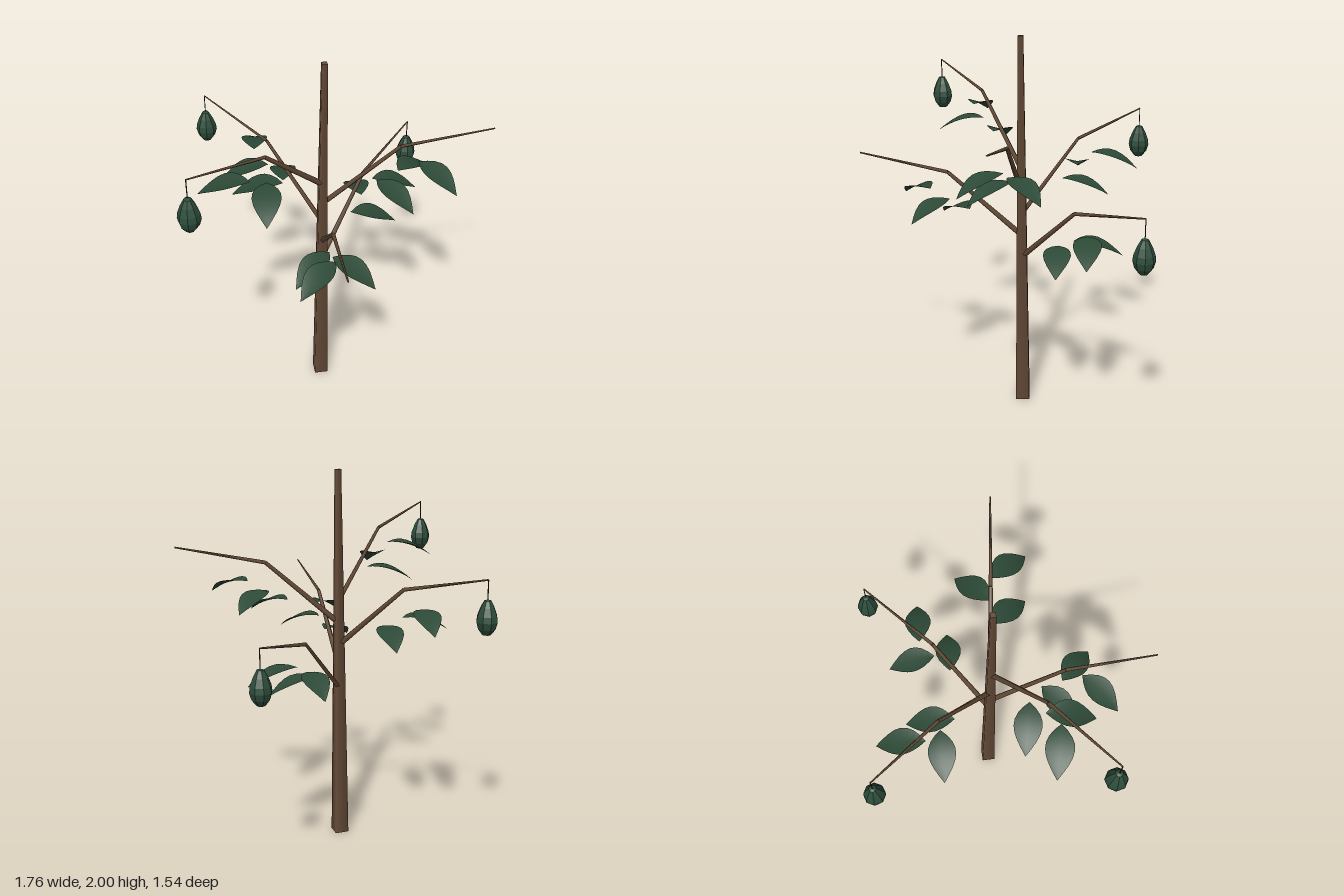
import * as THREE from 'three';

const mat = (name, color, opts = {}) => {
  const m = new THREE.MeshStandardMaterial({ color, ...opts });
  m.name = name;
  return m;
};

// Tapered four-sided rod between two points
function rod(name, a, b, ra, rb, material, sides = 4) {
  const dir = b.clone().sub(a);
  const mesh = new THREE.Mesh(new THREE.CylinderGeometry(rb, ra, dir.length(), sides), material);
  mesh.name = name;
  mesh.position.copy(a).add(b).multiplyScalar(0.5);
  mesh.quaternion.setFromUnitVectors(new THREE.Vector3(0, 1, 0), dir.normalize());
  return mesh;
}

// Pointed leaf along +x, drooping to the tip with raised edges
function leafGeometry() {
  const length = 0.25, halfWidth = 0.069;
  const geo = new THREE.PlaneGeometry(1, 2, 8, 2);
  const p = geo.attributes.position;
  for (let i = 0; i < p.count; i++) {
    const t = p.getX(i) + 0.5, side = -p.getY(i);
    const w = Math.max(0, Math.sin(Math.PI * Math.pow(t, 0.92)));
    const y = 0.012 * t - 0.092 * t * t + 0.014 * Math.abs(side) * w;
    p.setXYZ(i, t * length, y, side * w * halfWidth);
  }
  geo.computeVertexNormals();
  return geo;
}

// Teardrop fruit hanging below its own origin
function fruitGeometry() {
  const profile = [[0, -0.18], [0.022, -0.175], [0.045, -0.145], [0.055, -0.11],
    [0.051, -0.08], [0.036, -0.04], [0.018, -0.006], [0, 0]];
  return new THREE.LatheGeometry(profile.map(([r, y]) => new THREE.Vector2(r, y)), 8);
}

export function createModel() {
  const bark = mat('bark brown', 0x664c38);
  const leafGreen = mat('leaf green', 0x2d4a37, { side: THREE.DoubleSide });
  const fruitGreen = mat('fruit green', 0x2c4c3a, { flatShading: true });
  const stemDark = mat('stem dark', 0x2f2a20);

  const tree = new THREE.Group();
  tree.name = 'fruitTree';
  tree.position.set(-0.008, 0, 0.108);
  const root = new THREE.Group();
  root.add(tree);

  const v = (x, y, z = 0) => new THREE.Vector3(x, y, z);
  tree.add(rod('trunk', v(0, 0), v(0, 2), 0.052, 0.019, bark));

  const leafGeo = leafGeometry(), fruitGeo = fruitGeometry();

  // Branches spiral up the trunk by the golden angle
  for (let i = 0; i < 5; i++) {
    const branch = new THREE.Group();
    branch.name = 'branch' + (i + 1);
    branch.position.y = 0.84 + 0.12 * i;
    branch.rotation.y = -THREE.MathUtils.degToRad(137.5 * i);
    tree.add(branch);

    const elbow = v(0.38, 0.34), tip = v(0.83, 0.435);
    branch.add(rod('innerBranch', v(0.02, 0.02), elbow, 0.015, 0.01, bark));
    branch.add(rod('outerBranch', elbow, tip, 0.01, 0.004, bark));

    // Leaves alternate sides along the straight line to the tip
    [0.325, 0.45, 0.57].forEach((t, k) => {
      const leaf = new THREE.Mesh(leafGeo, leafGreen);
      leaf.name = 'leaf';
      leaf.position.copy(tip).multiplyScalar(t);
      leaf.rotation.y = (k % 2 ? 1 : -1) * 0.83;
      branch.add(leaf);
    });

    // Every other branch carries a hanging fruit
    if (i % 2 === 0) {
      const top = v(tip.x, tip.y - 0.095);
      branch.add(rod('fruitStem', top, tip, 0.003, 0.003, stemDark));
      const fruit = new THREE.Mesh(fruitGeo, fruitGreen);
      fruit.name = 'fruit';
      fruit.position.copy(top);
      branch.add(fruit);
    }
  }
  return root;
}
